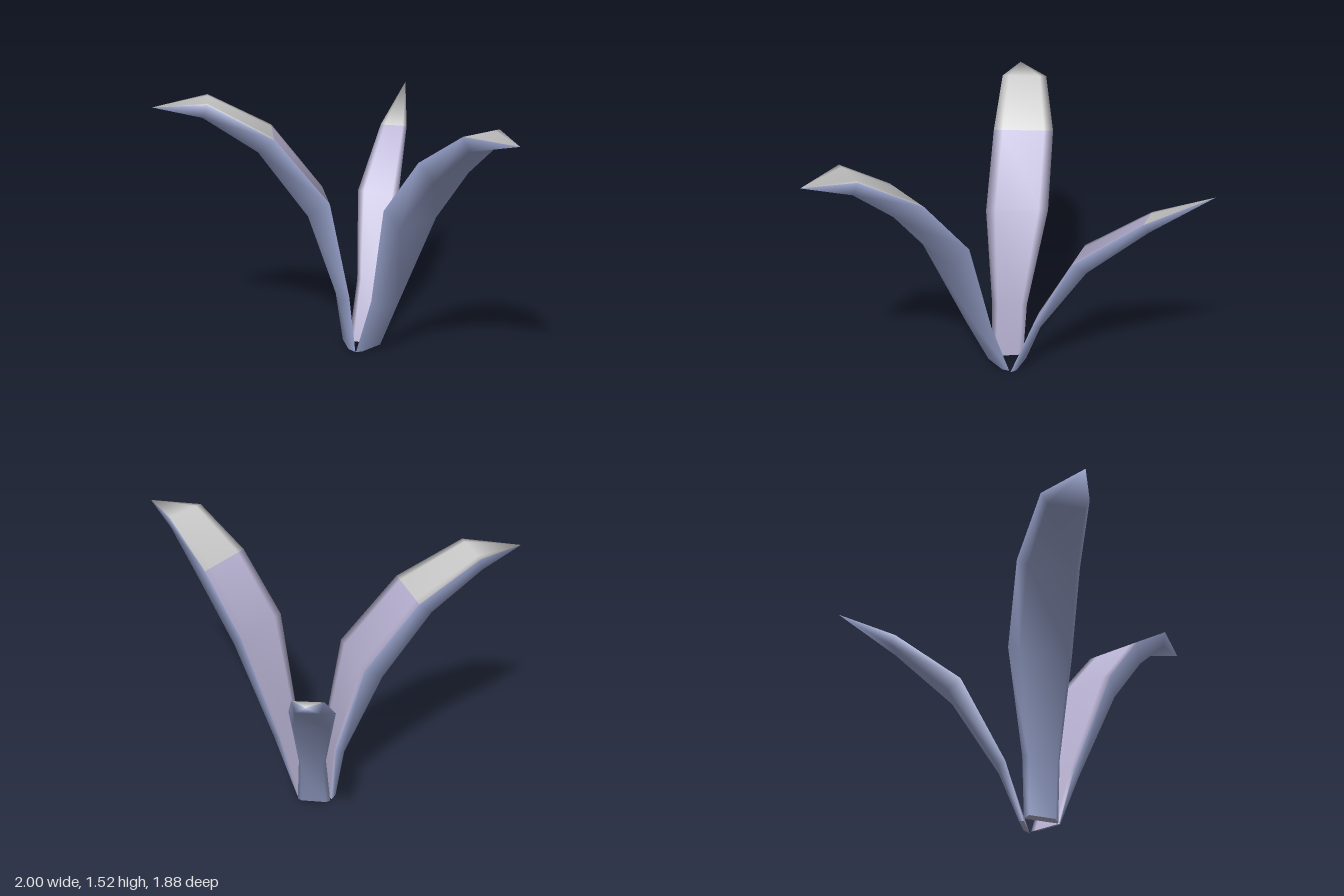
import * as THREE from 'three';

const material = (color) => new THREE.MeshStandardMaterial({ color, roughness: 0.8 });

// Each leaf is flat on top with a rounded keel below.
// Row: [rim height, first rim x, z, second rim x, z, keel offset outward, keel offset up]
const LEAVES = [
  {
    name: 'leftLeaf',
    rows: [
      [0.01, -0.215, 0.145, -0.215, -0.045, 0.035, 0.01],
      [0.37, -0.08, 0.145, -0.08, -0.045, 0.06, -0.03],
      [0.99, 0.13, 0.245, 0.13, -0.125, 0.09, -0.09],
      [1.32, 0.4, 0.25, 0.4, -0.1, 0.08, -0.1],
      [1.52, 0.71, 0.245, 0.74, 0, 0.02, -0.08],
    ],
    tip: [1, 1.505, 0.14],
  },
  {
    name: 'frontRightLeaf',
    rows: [
      [0.01, -0.39, 0.05, -0.22, 0.145, 0.035, 0.01],
      [0.36, -0.41, 0.05, -0.24, 0.17, 0.06, -0.03],
      [0.94, -0.57, 0.075, -0.27, 0.28, 0.12, -0.08],
      [1.32, -0.76, 0.29, -0.48, 0.5, 0.09, -0.08],
      [1.52, -0.94, 0.6, -0.73, 0.76, 0.03, -0.08],
    ],
    tip: [-1, 1.49, 0.94],
  },
  {
    name: 'backRightLeaf',
    rows: [
      [0, -0.22, -0.05, -0.385, 0.045, 0.03, 0.01],
      [0.36, -0.3, -0.155, -0.42, -0.06, 0.04, -0.02],
      [0.84, -0.39, -0.38, -0.6, -0.24, 0.08, -0.05],
      [1.155, -0.63, -0.685, -0.77, -0.595, 0.03, -0.05],
    ],
    tip: [-0.9, 1.35, -0.94],
  },
];

// Cross-section loop: [position across the leaf, share of the keel offset]
const SECTION = [[0, 0], [0.12, 1], [0.88, 1], [1, 0], [0.85, 0], [0.15, 0]];
const COLS = SECTION.length;
const TIP_ROW = 3; // upper surface turns pale from this row on

function createLeaf({ name, rows, tip }, underMat, upperMat, tipMat) {
  const base = new THREE.Vector3((rows[0][1] + rows[0][3]) / 2, 0, (rows[0][2] + rows[0][4]) / 2);
  const out = new THREE.Vector3(tip[0], 0, tip[2]).sub(base).normalize();

  // Cross-sections from the base up, closing at a single tip point
  const pos = [];
  for (const [y, ax, az, bx, bz, push, lift] of rows) {
    const a = new THREE.Vector3(ax, y, az);
    const b = new THREE.Vector3(bx, y, bz);
    for (const [t, keel] of SECTION) {
      const p = a.clone().lerp(b, t).addScaledVector(out, push * keel);
      pos.push(p.x, p.y + lift * keel, p.z);
    }
  }
  pos.push(...tip);

  // Outward faces for a range of rows and columns
  const last = rows.length;
  const at = (i, j) => (i === last ? last * COLS : i * COLS + (j % COLS));
  const faces = (row0, row1, col0, col1) => {
    const index = [];
    for (let i = row0; i < row1; i++) {
      for (let j = col0; j < col1; j++) {
        index.push(at(i, j), at(i, j + 1), at(i + 1, j));
        if (i + 1 < last) index.push(at(i, j + 1), at(i + 1, j + 1), at(i + 1, j));
      }
    }
    return index;
  };
  const cap = [];
  for (let j = 1; j < COLS - 1; j++) cap.push(0, j + 1, j);

  // Smooth normals shared by the whole leaf
  const whole = new THREE.BufferGeometry();
  whole.setAttribute('position', new THREE.Float32BufferAttribute(pos, 3));
  whole.setIndex(faces(0, last, 0, COLS));
  whole.computeVertexNormals();

  const part = (partName, index, mat) => {
    const geo = whole.clone();
    geo.setIndex(index);
    const mesh = new THREE.Mesh(geo, mat);
    mesh.name = partName;
    return mesh;
  };

  // The foot is flat, so it gets its own normals
  const foot = part('leafFoot', cap, upperMat);
  foot.geometry.computeVertexNormals();

  const leaf = new THREE.Group();
  leaf.name = name;
  leaf.add(
    part('leafUnderside', faces(0, last, 0, 3), underMat),
    part('leafUpperSide', faces(0, TIP_ROW, 3, COLS), upperMat),
    part('leafTipUpperSide', faces(TIP_ROW, last, 3, COLS), tipMat),
    foot,
  );
  return leaf;
}

export function createModel() {
  const model = new THREE.Group();
  model.name = 'plant';
  const underMat = material(0x9ca7d2);
  const upperMat = material(0xb6b0d0);
  const tipMat = material(0xcccccc);
  for (const spec of LEAVES) model.add(createLeaf(spec, underMat, upperMat, tipMat));
  return model;
}
